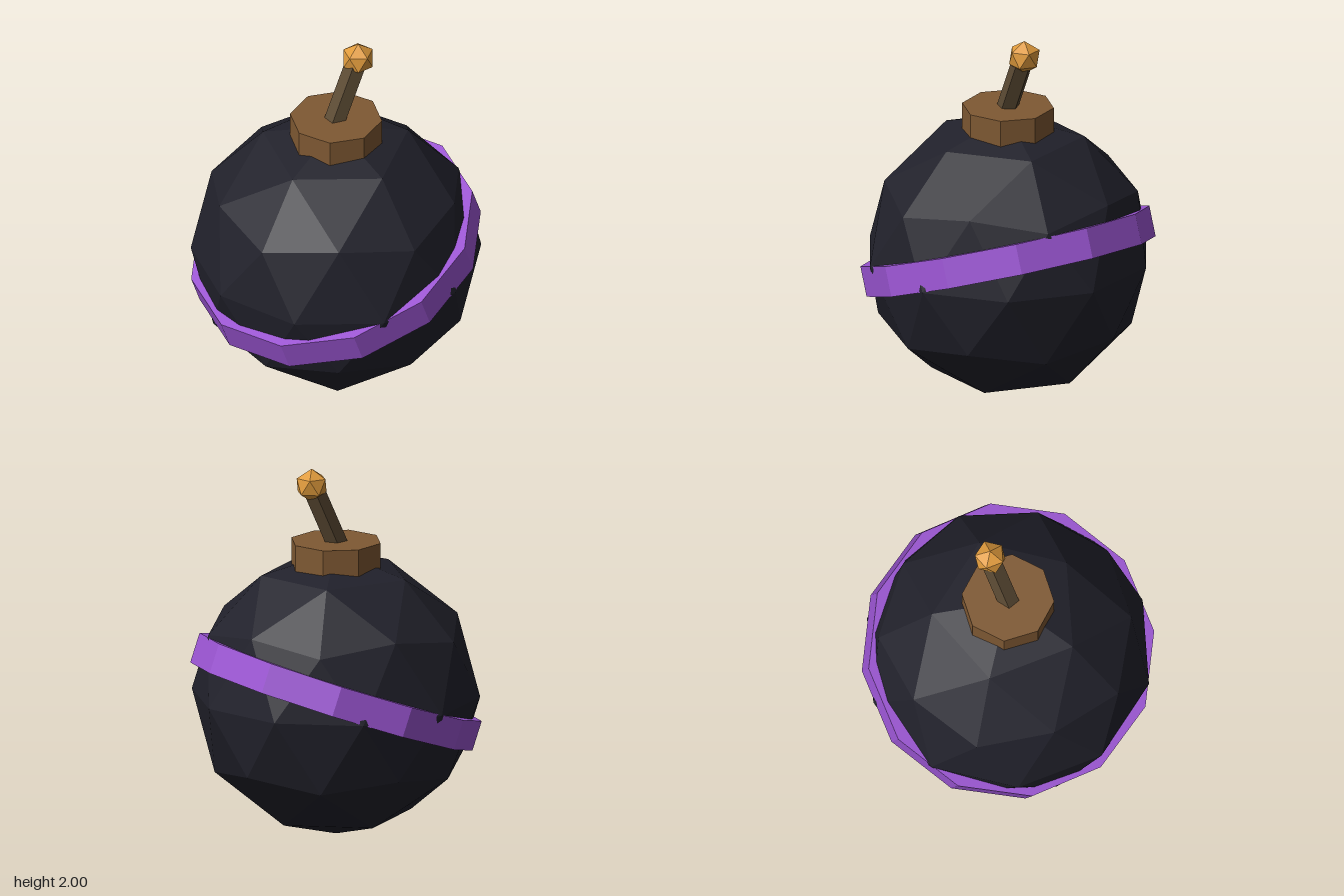
import * as THREE from 'three';

function material(name, color) {
  const m = new THREE.MeshStandardMaterial({ color, flatShading: true });
  m.name = name;
  return m;
}

// Low-poly ball standing on one of its corners, with an upper ring corner towards +x
function poleBall(radius, detail) {
  const tilt = Math.atan(2 / (1 + Math.sqrt(5)));
  return new THREE.IcosahedronGeometry(radius, detail).rotateZ(-tilt);
}

export function createModel() {
  const group = new THREE.Group();
  const add = (name, geometry, mat, x, y, z) => {
    const mesh = new THREE.Mesh(geometry, mat);
    mesh.name = name;
    mesh.position.set(x, y, z);
    group.add(mesh);
    return mesh;
  };

  const shell = material('dark shell', 0x21212b);
  const purple = material('purple band', 0x9b55d3);
  const brown = material('brown cap', 0x7f5933);
  const cord = material('fuse brown', 0x5c4b34);
  const ember = material('ember orange', 0xdf9a3c);

  // Round body
  add('body', poleBall(0.767, 1), shell, 0, 0.767, 0);

  // Tilted twelve-sided band
  const band = add('band', new THREE.CylinderGeometry(0.781, 0.781, 0.164, 12), purple, 0, 0.77, 0);
  band.rotation.x = THREE.MathUtils.degToRad(20);

  // Octagonal cap
  add('cap', new THREE.CylinderGeometry(0.245, 0.245, 0.145, 8), brown, 0, 1.5205, 0);

  // Five-sided fuse leaning back, flat side to the front
  const base = new THREE.Vector3(0, 1.5, 0.04);
  const tip = new THREE.Vector3(0, 1.91, -0.147);
  const axis = tip.clone().sub(base);
  const rod = new THREE.CylinderGeometry(0.059, 0.059, axis.length(), 5).rotateY(Math.PI);
  const middle = base.clone().add(tip).multiplyScalar(0.5);
  const fuse = add('fuse', rod, cord, middle.x, middle.y, middle.z);
  fuse.rotation.x = Math.atan2(axis.z, axis.y);

  // Glowing tip
  add('ember', poleBall(0.09, 0), ember, tip.x, tip.y, tip.z);

  return group;
}
